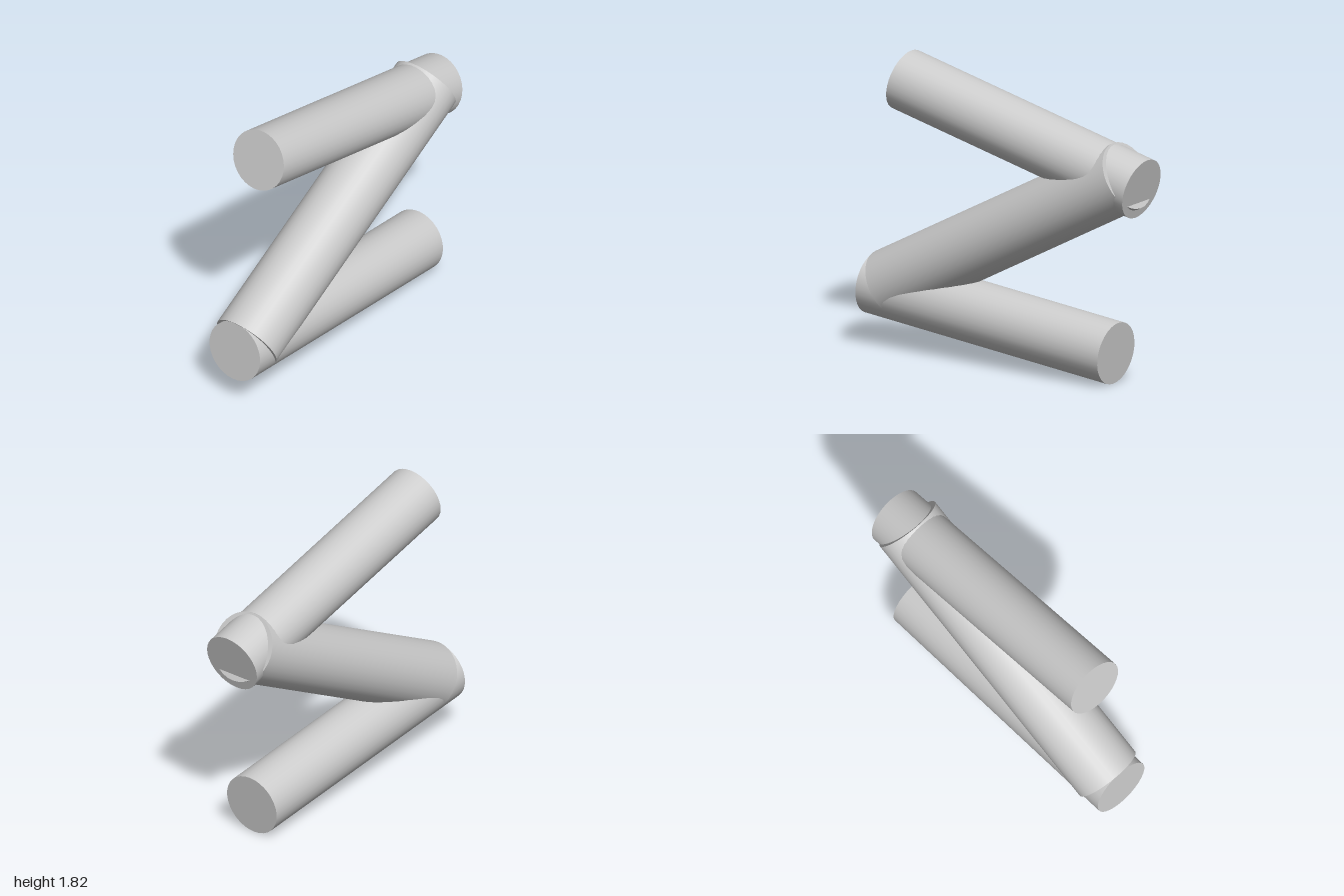
import * as THREE from 'three';

export function createModel() {
  const group = new THREE.Group();
  const material = new THREE.MeshStandardMaterial({ color: 0xcccccc });
  const up = new THREE.Vector3(0, 1, 0);

  // closed round bar between two points of the z = 0 plane
  function bar(name, [x1, y1], [x2, y2], radius) {
    const a = new THREE.Vector3(x1, y1, 0);
    const b = new THREE.Vector3(x2, y2, 0);
    const axis = b.clone().sub(a);
    const mesh = new THREE.Mesh(
      new THREE.CylinderGeometry(radius, radius, axis.length(), 32), material);
    mesh.name = name;
    mesh.position.copy(a).add(b).multiplyScalar(0.5);
    mesh.quaternion.setFromUnitVectors(up, axis.normalize());
    group.add(mesh);
  }

  bar('upperBar', [-0.755, 1.639], [0.952, 1.222], 0.188);
  bar('diagonalBar', [-0.867, 0.374], [0.848, 1.289], 0.21); // slightly thicker
  bar('lowerBar', [-0.982, 0.368], [0.767, 0.19], 0.19);

  return group;
}
